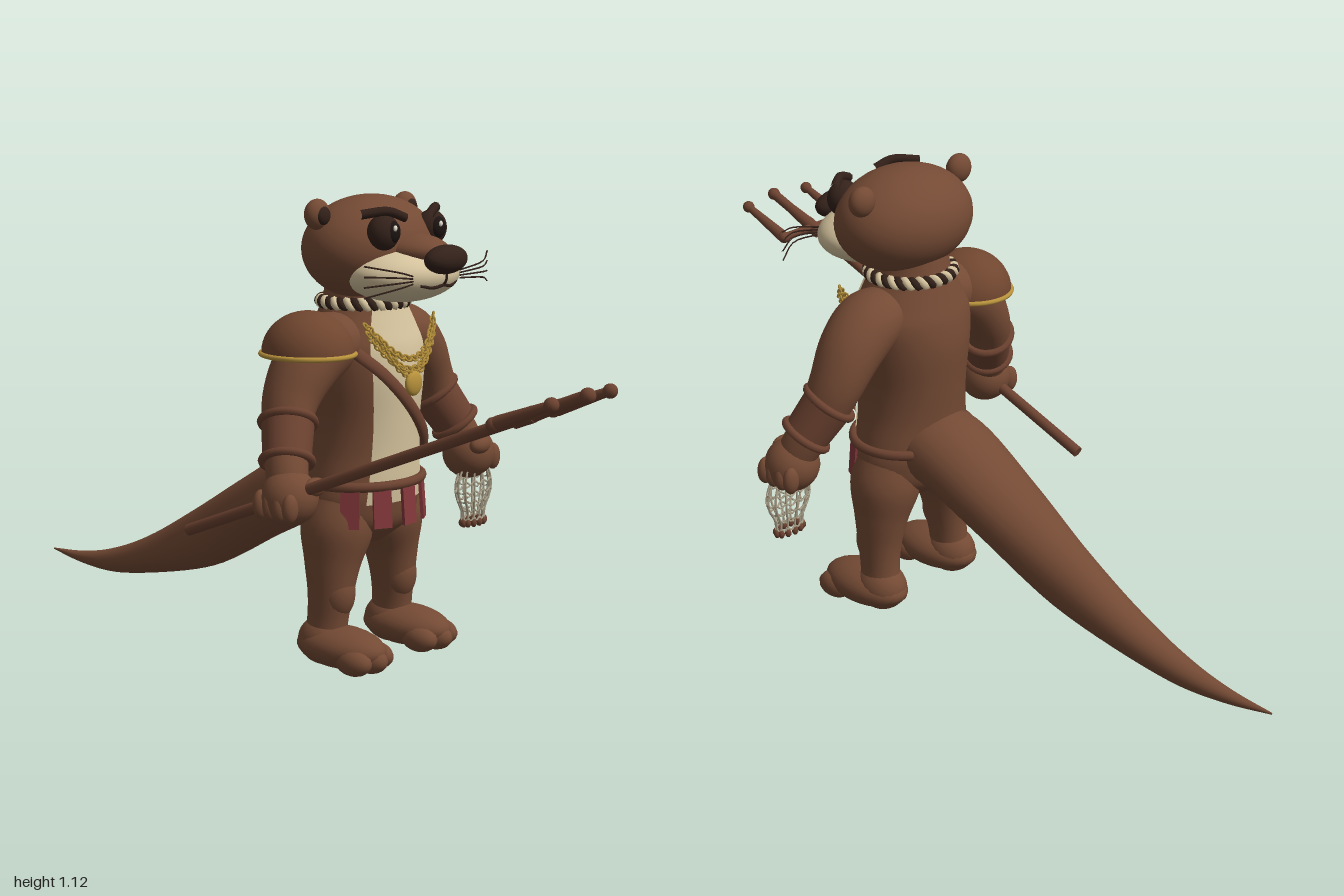
import * as THREE from 'three';

const mat = (name, hex, side = THREE.FrontSide) => {
  const m = new THREE.MeshStandardMaterial({ color: hex, side });
  m.name = name;
  return m;
};
const V = (x, y, z) => new THREE.Vector3(x, y, z);

// Smooth elliptical sweep. Rows: [x, y, z, radius along ref, radius across].
function loft(rows, ref, { steps = 32, sides = 28, from = 0, to = Math.PI * 2, grow = 0 } = {}) {
  const path = new THREE.CatmullRomCurve3(rows.map(r => V(r[0], r[1], r[2])));
  const size = new THREE.CatmullRomCurve3(rows.map((r, i) => V(r[3], r[4], i)));
  const full = to - from > 6.28, cols = full ? sides : sides + 1;
  const pos = [], idx = [];
  for (let i = 0; i <= steps; i++) {
    const c = path.getPoint(i / steps), s = size.getPoint(i / steps), T = path.getTangent(i / steps);
    const N = ref.clone().addScaledVector(T, -T.dot(ref)).normalize();
    const B = T.clone().cross(N);
    for (let j = 0; j < cols; j++) {
      const a = from + (to - from) * j / sides;
      const p = c.clone().addScaledVector(N, (s.x + grow) * Math.cos(a)).addScaledVector(B, (s.y + grow) * Math.sin(a));
      pos.push(p.x, p.y, p.z);
    }
  }
  for (let i = 0; i < steps; i++) for (let j = 0; j < sides; j++) {
    const k = (j + 1) % cols, a = i * cols + j, b = i * cols + k, c = a + cols, d = b + cols;
    idx.push(a, b, d, a, d, c);
  }
  const g = new THREE.BufferGeometry();
  g.setAttribute('position', new THREE.Float32BufferAttribute(pos, 3));
  g.setIndex(idx);
  g.computeVertexNormals();
  return g;
}

export function createModel() {
  const fur = mat('brown fur', 0x744a34), cream = mat('cream fur', 0xd6c49e, THREE.DoubleSide);
  const dark = mat('dark brown', 0x33211a), gold = mat('gold', 0xb8923c), red = mat('red cloth', 0x85383c, THREE.DoubleSide);
  const leather = mat('leather', 0x6c4230), cord = mat('net cord', 0xb0a68e), black = mat('pupil', 0x1c1412);
  const white = mat('eye glint', 0xe6ded0);

  const root = new THREE.Group(), body = new THREE.Group();
  body.name = 'otterWarrior';
  body.position.x = 0.025;
  root.add(body);
  const add = (name, geo, m, p = [0, 0, 0], parent = body) => {
    const mesh = new THREE.Mesh(geo, m);
    mesh.name = name;
    mesh.position.set(...p);
    parent.add(mesh);
    return mesh;
  };
  const ball = (name, m, p, r, seg = 24) => add(name, new THREE.SphereGeometry(1, seg, Math.round(seg * 0.7)).scale(...r), m, p);
  const tube = (name, m, pts, r, n = 12, sides = 6) =>
    add(name, new THREE.TubeGeometry(new THREE.CatmullRomCurve3(pts), n, r, sides), m);
  const X = V(1, 0, 0), Z = V(0, 0, 1);

  // Torso and cream belly
  const torso = [[0, .29, .11, .05, .05], [0, .34, .11, .14, .105], [0, .4, .11, .16, .12], [0, .45, .11, .152, .125],
    [0, .52, .11, .139, .127], [0, .6, .11, .137, .132], [0, .7, .11, .15, .138], [0, .77, .11, .155, .13],
    [0, .82, .11, .13, .115], [0, .87, .11, .1, .1], [0, .92, .11, .09, .09]];
  add('torso', loft(torso, X, { steps: 50, sides: 40 }), fur);
  add('belly', loft(torso.slice(2), X, { steps: 44, sides: 16, from: -Math.PI / 2 - .7, to: -Math.PI / 2 + .7, grow: .004 }), cream);

  // Tail
  add('tail', loft([[0, .44, .06, .11, .09], [0, .425, -.02, .115, .095], [0, .33, -.2, .1, .085], [0, .215, -.4, .073, .078],
    [0, .135, -.6, .052, .05], [0, .095, -.75, .034, .032], [0, .085, -.87, .018, .016], [0, .09, -.985, .002, .002]], X, { steps: 48 }), fur);

  // Head, muzzle and nose
  ball('head', fur, [0, 1, .13], [.187, .125, .145], 40);
  ball('muzzle', cream, [0, .945, .225], [.155, .068, .125], 36);
  ball('muzzleBridge', fur, [0, 1.0, .25], [.075, .04, .1]);
  ball('nose', dark, [0, .984, .352], [.07, .034, .036]);
  tube('philtrum', dark, [V(0, .955, .355), V(0, .935, .353), V(0, .925, .345)], .003, 6);

  for (const s of [-1, 1]) {
    const side = s > 0 ? 'left' : 'right';
    // Face details
    ball(side + 'Eye', dark, [s * .092, 1.045, .24], [.043, .043, .035]);
    ball(side + 'Pupil', black, [s * .088, 1.047, .262], [.025, .027, .017], 16);
    ball(side + 'EyeGlint', white, [s * .088 - .008, 1.057, .278], [.006, .007, .004], 10);
    tube(side + 'Brow', dark, [V(s * .045, 1.078, .268), V(s * .09, 1.094, .252), V(s * .145, 1.088, .215)], .011, 12, 8);
    ball(side + 'Ear', fur, [s * .167, 1.085, .105], [.036, .036, .026]);
    ball(side + 'InnerEar', dark, [s * .167, 1.083, .124], [.022, .022, .012], 16);
    tube(side + 'Mouth', dark, [V(0, .925, .346), V(s * .035, .92, .341), V(s * .07, .927, .329)], .004, 8);
    for (let k = 0; k < 4; k++) {
      const y = .965 - k * .012;
      tube(side + 'Whisker', dark, [V(s * .09, .95 - k * .006, .325), V(s * .16, y, .34), V(s * .24, y + .018 - k * .012, .3)], .002, 8, 4);
    }

    // Leg, shin and foot
    add(side + 'Leg', loft([[s * .08, .41, .11, .075, .08], [s * .1, .33, .11, .086, .088], [s * .115, .25, .11, .066, .07],
      [s * .122, .18, .11, .053, .058], [s * .127, .11, .105, .046, .052], [s * .13, .05, .1, .05, .055]], X), fur);
    ball(side + 'Shin', fur, [s * .122, .18, .128], [.046, .066, .046]);
    ball(side + 'Foot', fur, [s * .13, .052, .15], [.075, .05, .125]);
    ball(side + 'Heel', fur, [s * .13, .06, .1], [.06, .06, .07]);
    for (const t of [-1, 0, 1]) ball(side + 'Toe', fur, [s * .13 + t * .042, .035, .235 - Math.abs(t) * .015], [.033, .033, .05], 16);

    // Arm and fist
    const arm = [[s * .07, .785, .11, .07, .06], [s * .14, .78, .11, .085, .075], [s * .21, .735, .105, .08, .075],
      [s * .265, .66, .105, .068, .062], [s * .3, .58, .125, .055, .052], [s * .335, .51, .155, .05, .048], [s * .35, .46, .175, .045, .045]];
    add(side + 'Arm', loft(arm, Z), fur);
    ball(side + 'Fist', fur, [s * .35, .458, .175], [.068, .066, .066]);
    ball(side + 'Thumb', fur, [s * .325, .485, .228], [.036, .022, .02], 16);
    for (let k = 0; k < 4; k++) ball(side + 'Finger', fur, [s * .398, .445, .13 + k * .029], [.022, .034, .017], 14);

    // Bracer with rolled rims
    const lo = V(s * .327, .535, .148), hi = V(s * .282, .615, .113), dir = hi.clone().sub(lo);
    const turn = new THREE.Quaternion().setFromUnitVectors(V(0, 1, 0), dir.clone().normalize());
    const bracer = new THREE.Group();
    bracer.name = side + 'Bracer';
    bracer.position.copy(lo).lerp(hi, .5);
    bracer.quaternion.copy(turn);
    body.add(bracer);
    const h = dir.length();
    add('cuff', new THREE.CylinderGeometry(.062, .056, h, 28), leather, [0, 0, 0], bracer);
    for (const e of [-1, 1]) add('cuffRim', new THREE.TorusGeometry(e > 0 ? .062 : .057, .01, 8, 28).rotateX(Math.PI / 2), leather, [0, e * h / 2, 0], bracer);
  }

  // Twisted neck rope
  for (let k = 0; k < 2; k++) {
    const pts = [];
    for (let i = 0; i < 224; i++) {
      const a = i / 224 * Math.PI * 2, b = a * 18 + k * Math.PI, r = .1 + .008 * Math.cos(b);
      pts.push(V(r * Math.cos(a), .872 + .008 * Math.sin(b), .11 + r * Math.sin(a)));
    }
    add('neckRope', new THREE.TubeGeometry(new THREE.CatmullRomCurve3(pts, true), 224, .0095, 6, true), k ? dark : cream);
  }

  // Shoulder guard with gold rim
  const domeGeo = new THREE.SphereGeometry(1, 32, 12, 0, Math.PI * 2, 0, Math.PI / 2).scale(.106, .1, .112);
  const guard = mat('shoulder guard', 0x70462f, THREE.DoubleSide);
  add('shoulderGuard', domeGeo, guard, [-.2, .765, .105]);
  add('shoulderGuardRim', new THREE.TorusGeometry(1, .06, 8, 40).rotateX(Math.PI / 2).scale(.106, .1, .112), gold, [-.2, .765, .105]);

  // Gold chains and medallion resting on the chest
  const chestZ = (x, w) => .115 + .14 * Math.sqrt(Math.max(.15, 1 - (x / w) ** 2));
  for (const [w, top, depth] of [[.13, .83, .085], [.125, .81, .09], [.095, .795, .09]]) {
    const pts = [];
    for (let i = 0; i <= 12; i++) {
      const t = i / 6 - 1;
      pts.push(V(w * t, top - depth * (1 - t * t), chestZ(w * t, .19) + .004));
    }
    const curve = new THREE.CatmullRomCurve3(pts), n = Math.round(curve.getLength() / .0125);
    for (let i = 0; i <= n; i++) {
      const link = add('chainLink', new THREE.TorusGeometry(.0085, .0028, 5, 10).scale(1.15, .9, 1).rotateX(i % 2 ? .5 : -.7), gold);
      link.position.copy(curve.getPointAt(i / n));
      link.quaternion.setFromUnitVectors(X, curve.getTangentAt(i / n));
    }
  }
  ball('medallion', gold, [0, .686, .262], [.03, .03, .012]);

  // Chest strap
  const strap = [];
  for (let i = 0; i <= 6; i++) {
    const x = -.13 + i * .0415;
    strap.push([x, .765 - i * .0425, chestZ(x, .158) - .002, .009, .016]);
  }
  add('chestStrap', loft(strap, Z, { steps: 24, sides: 12 }), leather);

  // Belt and hanging cloth strips
  add('belt', new THREE.TorusGeometry(1, .075, 10, 48).rotateX(Math.PI / 2).scale(.158, .16, .138), leather, [0, .445, .108]);
  for (const a of [-1.05, -.52, 0, .52, 1.05]) {
    const strip = add('clothStrip', new THREE.BoxGeometry(.046, .095, .008), red, [.158 * Math.sin(a), .393, .112 + .138 * Math.cos(a)]);
    strip.rotation.set(-.08, a, 0, 'YXZ');
  }

  // Trident held in the right fist, built along +y then tilted forward
  const trident = new THREE.Group();
  trident.name = 'trident';
  trident.position.set(-.35, .335, -.14);
  trident.rotation.x = Math.atan2(1.12, .45);
  body.add(trident);
  const L = 1.2, bar = 1.02;
  add('shaft', new THREE.CylinderGeometry(.013, .014, L - .02, 16), leather, [0, (L - .02) / 2, 0], trident);
  ballIn('shaftTip', [0, L - .016, 0], .017);
  add('shaftCollar', new THREE.CylinderGeometry(.018, .018, .05, 16), leather, [0, bar, 0], trident);
  add('crossbar', new THREE.CylinderGeometry(.011, .011, .226, 12).rotateZ(Math.PI / 2), leather, [0, bar, 0], trident);
  for (const s of [-1, 1]) {
    ballIn('crossbarEnd', [s * .11, bar, 0], .016);
    add('prong', new THREE.CylinderGeometry(.01, .016, .13, 12), leather, [s * .11, bar + .075, 0], trident);
    ballIn('prongTip', [s * .11, bar + .148, 0], .016);
  }
  add('centreProng', new THREE.CylinderGeometry(.01, .017, .13, 12), leather, [0, bar + .09, 0], trident);
  function ballIn(name, p, r) { add(name, new THREE.SphereGeometry(r, 14, 10), leather, p, trident); }

  // Net hanging from the left fist, with beads
  const netAt = (a, t) => {
    const r = .045 + .022 * Math.sin(Math.PI * Math.min(1, t * 1.3)) - .004 * t;
    return V(.353 + r * Math.cos(a), .425 - .145 * t, .19 + r * .48 * Math.sin(a));
  };
  const strands = 12;
  for (let i = 0; i < strands; i++) {
    const a = i / strands * Math.PI * 2;
    tube('netStrand', cord, [0, .2, .4, .6, .8, 1].map(t => netAt(a, t)), .0028, 10, 5);
    const end = netAt(a, 1);
    ball('netBead', leather, [end.x, end.y, end.z], [.008, .011, .008], 8);
  }
  for (const t of [.25, .42, .59, .76, .92]) {
    const ring = [];
    for (let i = 0; i < 24; i++) ring.push(netAt(i / 24 * Math.PI * 2, t + (i % 2 ? .04 : -.02)));
    add('netRing', new THREE.TubeGeometry(new THREE.CatmullRomCurve3(ring, true), 48, .0025, 5, true), cord);
  }
  return root;
}
